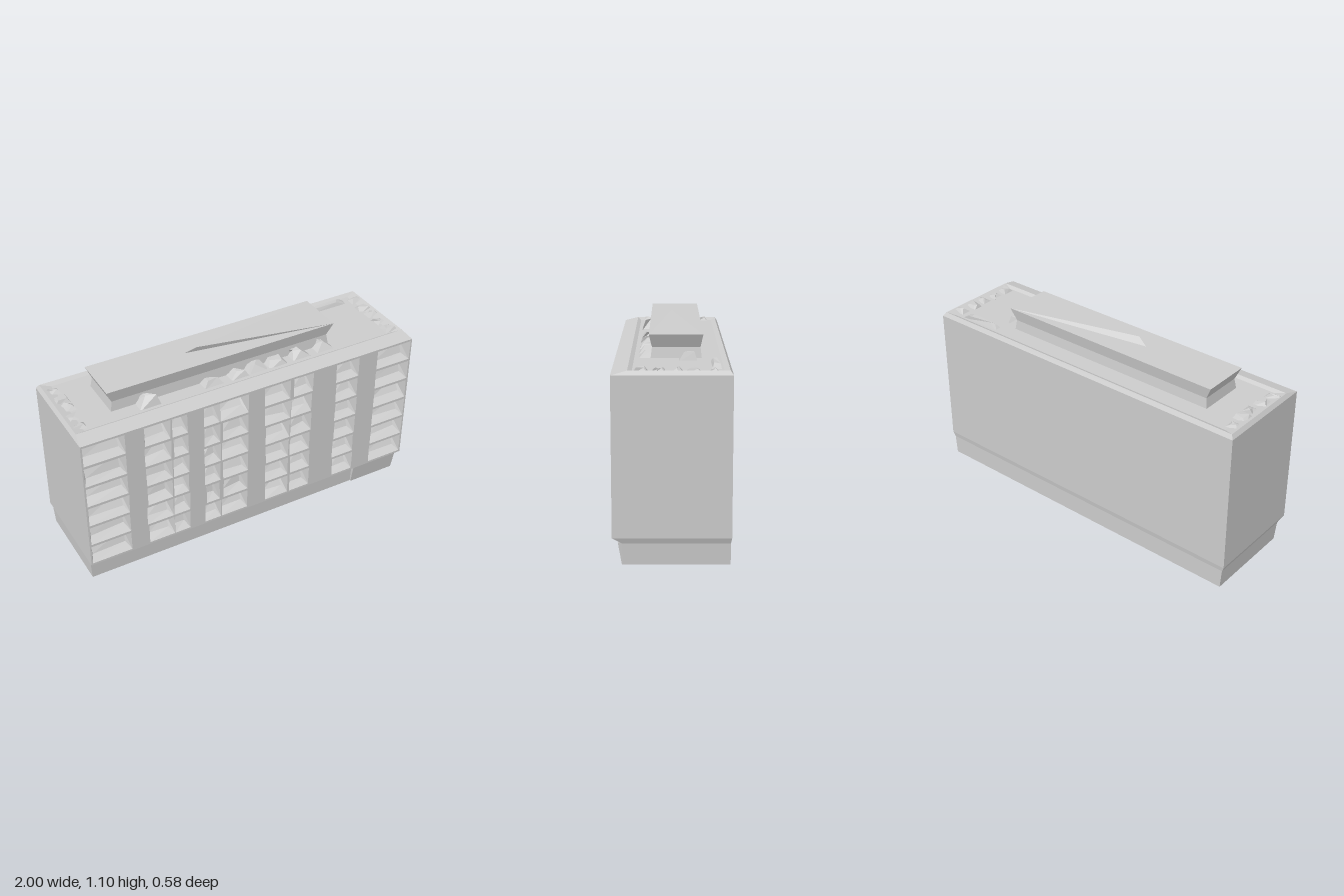
import * as THREE from 'three';

const material = new THREE.MeshStandardMaterial({ color: 0xcccccc, flatShading: true, side: THREE.DoubleSide });

// Seeded jitter in the range -1..1
let seed = 7;
const jitter = (amount) => {
  seed = (seed * 16807) % 2147483647;
  return (seed / 2147483647 * 2 - 1) * amount;
};

// Mesh from a list of four-cornered faces (counter-clockwise seen from outside)
function quadMesh(name, quads) {
  const pos = [];
  for (const [a, b, c, d] of quads) pos.push(...a, ...b, ...c, ...a, ...c, ...d);
  const geo = new THREE.BufferGeometry();
  geo.setAttribute('position', new THREE.Float32BufferAttribute(pos, 3));
  geo.computeVertexNormals();
  const mesh = new THREE.Mesh(geo, material);
  mesh.name = name;
  return mesh;
}

// Rectangular ring at height y: front-left, front-right, back-right, back-left
const ring = (y, x0, x1, zBack, zFront) =>
  [[x0, y, zFront], [x1, y, zFront], [x1, y, zBack], [x0, y, zBack]];

// Walls between stacked rings, with optional skipping of a front face
function loft(rings, skipFront = -1) {
  const quads = [];
  for (let r = 0; r + 1 < rings.length; r++) {
    for (let i = 0; i < 4; i++) {
      if (i === 0 && r === skipFront) continue;
      const j = (i + 1) % 4;
      quads.push([rings[r][i], rings[r][j], rings[r + 1][j], rings[r + 1][i]]);
    }
  }
  return quads;
}

const cap = (r) => [r[0], r[1], r[2], r[3]];
const base = (r) => [r[3], r[2], r[1], r[0]];

const FRONT = 0.29, WALL_BOTTOM = 0.14, WALL_TOP = 0.935, ROWS = 6;
// Left and right edge of every window column
const COLUMNS = [[-0.99, -0.76], [-0.66, -0.505], [-0.495, -0.41], [-0.31, -0.22], [-0.21, -0.05],
  [0.06, 0.21], [0.225, 0.35], [0.51, 0.65], [0.77, 0.99]];

// Front wall with a hole for each window, and a tapered pocket behind each hole
function buildFacade() {
  const group = new THREE.Group();
  group.name = 'facade';
  const wall = new THREE.Shape([[-1, WALL_BOTTOM], [1, WALL_BOTTOM], [1, WALL_TOP], [-1, WALL_TOP]]
    .map(([x, y]) => new THREE.Vector2(x, y)));
  const pockets = [];
  const pitch = (WALL_TOP - WALL_BOTTOM - 0.01) / ROWS;

  for (const [x0, x1] of COLUMNS) {
    for (let row = 0; row < ROWS; row++) {
      const y0 = WALL_BOTTOM + 0.012 + row * pitch, y1 = y0 + pitch - 0.014;
      const w = x1 - x0, edge = Math.abs(x0 + x1) > 1.7 ? 0 : 0.008;
      const l = x0 + jitter(edge), r = x1 + jitter(edge * 0.5);
      const outer = [[l, y0], [r, y0], [r + jitter(0.003), y1], [l + jitter(0.003), y1]];
      wall.holes.push(new THREE.Path(outer.map(([x, y]) => new THREE.Vector2(x, y)).reverse()));

      // Sill rises toward the back; the head slopes down toward it
      const side = Math.min(0.018, w * 0.14);
      const inner = [
        [l + side, y0 + 0.022, FRONT - 0.05 + jitter(0.01)],
        [r - side, y0 + 0.022 + jitter(0.008), FRONT - 0.05 + jitter(0.01)],
        [r - side, y1 - 0.026 + jitter(0.008), FRONT - 0.085 + jitter(0.01)],
        [l + side, y1 - 0.026 + jitter(0.008), FRONT - 0.085 + jitter(0.01)]];
      const rim = outer.map(([x, y]) => [x, y, FRONT]);
      for (let i = 0; i < 4; i++) {
        const j = (i + 1) % 4;
        pockets.push([rim[i], rim[j], inner[j], inner[i]]);
      }
      pockets.push(inner);
    }
  }
  const front = new THREE.Mesh(new THREE.ShapeGeometry(wall), material);
  front.name = 'frontWall';
  front.position.z = FRONT;
  group.add(front, quadMesh('windowPockets', pockets));
  return group;
}

// Small irregular four-sided lump on the roof
function lump(name, x, z, width, height, depth) {
  const y = 0.935;
  const bottom = ring(y, x - width / 2, x + width / 2, z - depth / 2, z + depth / 2);
  const top = ring(y + height, x - width * 0.2, x + width * 0.15, z - depth * 0.2, z + depth * 0.1)
    .map(([a, b, c]) => [a + jitter(width * 0.2), b + jitter(0.006), c + jitter(depth * 0.2)]);
  return quadMesh(name, [...loft([bottom, top]), cap(top)]);
}

export function createModel() {
  seed = 7;
  const model = new THREE.Group();
  model.name = 'apartmentBlock';

  // Plinth, side and back walls, chamfered roof edge and shallow roof deck
  const rings = [
    ring(0, -0.98, 0.98, -0.285, 0.235),
    ring(0.11, -0.988, 0.988, -0.285, 0.242),
    ring(WALL_BOTTOM, -1, 1, -0.29, FRONT),
    ring(WALL_TOP, -1, 1, -0.29, FRONT),
    ring(0.957, -0.985, 0.985, -0.275, 0.21),
    ring(0.945, -0.93, 0.93, -0.25, 0.19)];
  model.add(quadMesh('shell', [...loft(rings, 2), base(rings[0]), cap(rings[5])]));
  model.add(buildFacade());

  // Slightly proud block at the left end of the plinth
  const block = [ring(0, 0.69, 0.98, 0.1, 0.243), ring(0.115, 0.69, 0.986, 0.1, 0.262)];
  model.add(quadMesh('entranceBlock', [...loft(block), base(block[0]), cap(block[1])]));

  // Rooftop storey, flaring outward at the eaves
  const storey = [
    ring(0.94, -0.75, 0.56, -0.152, 0.108),
    ring(1.0, -0.74, 0.55, -0.145, 0.1),
    ring(1.068, -0.77, 0.585, -0.158, 0.115)];
  model.add(quadMesh('rooftopStorey', [...loft(storey), cap(storey[2])]));

  // Shallow peak sloping away from its apex
  const apex = [-0.2, 1.098, 0], tail = [-0.26, 1.068, -0.02];
  const near = [0.585, 1.068, 0.115], far = [0.585, 1.068, -0.158];
  model.add(quadMesh('roofPeak', [[tail, near, apex, apex], [near, far, apex, apex], [far, tail, apex, apex]]));

  // Rubble along both roof ends, in front of the rooftop storey and at the back corner
  const rubble = new THREE.Group();
  rubble.name = 'roofRubble';
  for (const side of [-1, 1]) {
    for (let i = 0; i < 5; i++) {
      rubble.add(lump('endRubble', side * (0.935 + jitter(0.01)), -0.19 + i * 0.085, 0.09, 0.03, 0.08));
    }
  }
  for (const x of [-0.56, -0.2, -0.05, 0.1, 0.22, 0.36, 0.5]) {
    rubble.add(lump('frontRubble', x + jitter(0.02), 0.125, 0.13, 0.05 + jitter(0.015), 0.1));
  }
  rubble.add(lump('sideRubble', 0.6, -0.08, 0.08, 0.05, 0.1));
  rubble.add(lump('backRubble', 0.76, -0.215, 0.28, 0.03, 0.05));
  model.add(rubble);

  return model;
}
